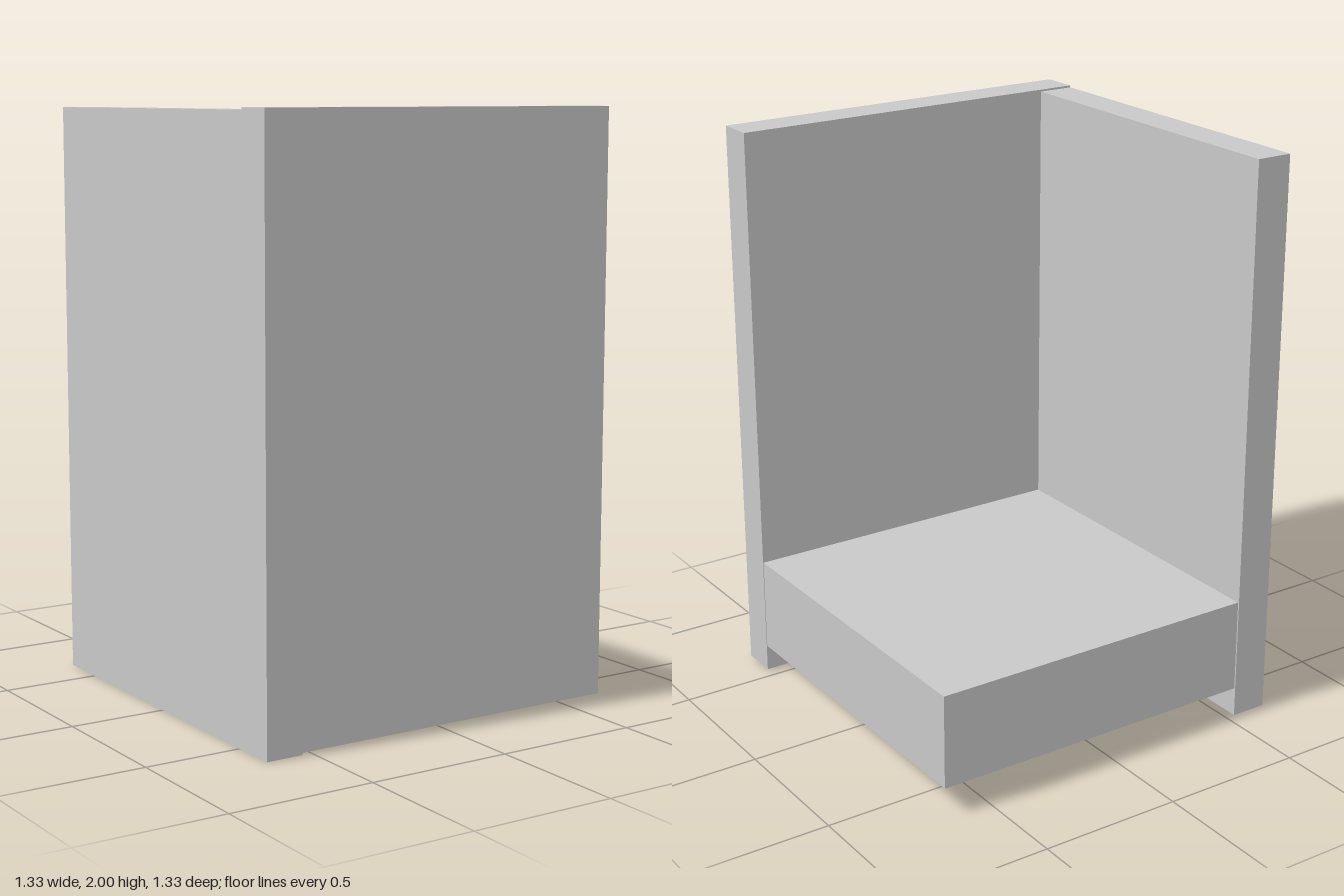
import * as THREE from 'three';

export function createModel() {
  const group = new THREE.Group();
  const grey = new THREE.MeshStandardMaterial({ color: 0xc8c8c8 });
  grey.name = 'light grey';

  // Box given by its lower and upper corners
  function slab(name, [x0, y0, z0], [x1, y1, z1]) {
    const mesh = new THREE.Mesh(new THREE.BoxGeometry(x1 - x0, y1 - y0, z1 - z0), grey);
    mesh.position.set((x0 + x1) / 2, (y0 + y1) / 2, (z0 + z1) / 2);
    mesh.name = name;
    group.add(mesh);
  }

  // Two tall panels meeting at a corner, the side one set slightly lower
  slab('frontPanel', [-0.665, 0.008, 0.535], [0.665, 2, 0.665]);
  slab('sidePanel', [-0.665, 0, -0.668], [-0.535, 1.993, 0.663]);

  // Thick seat block held in the corner, raised off the ground
  slab('seat', [-0.535, 0.103, -0.663], [0.663, 0.435, 0.535]);

  return group;
}
